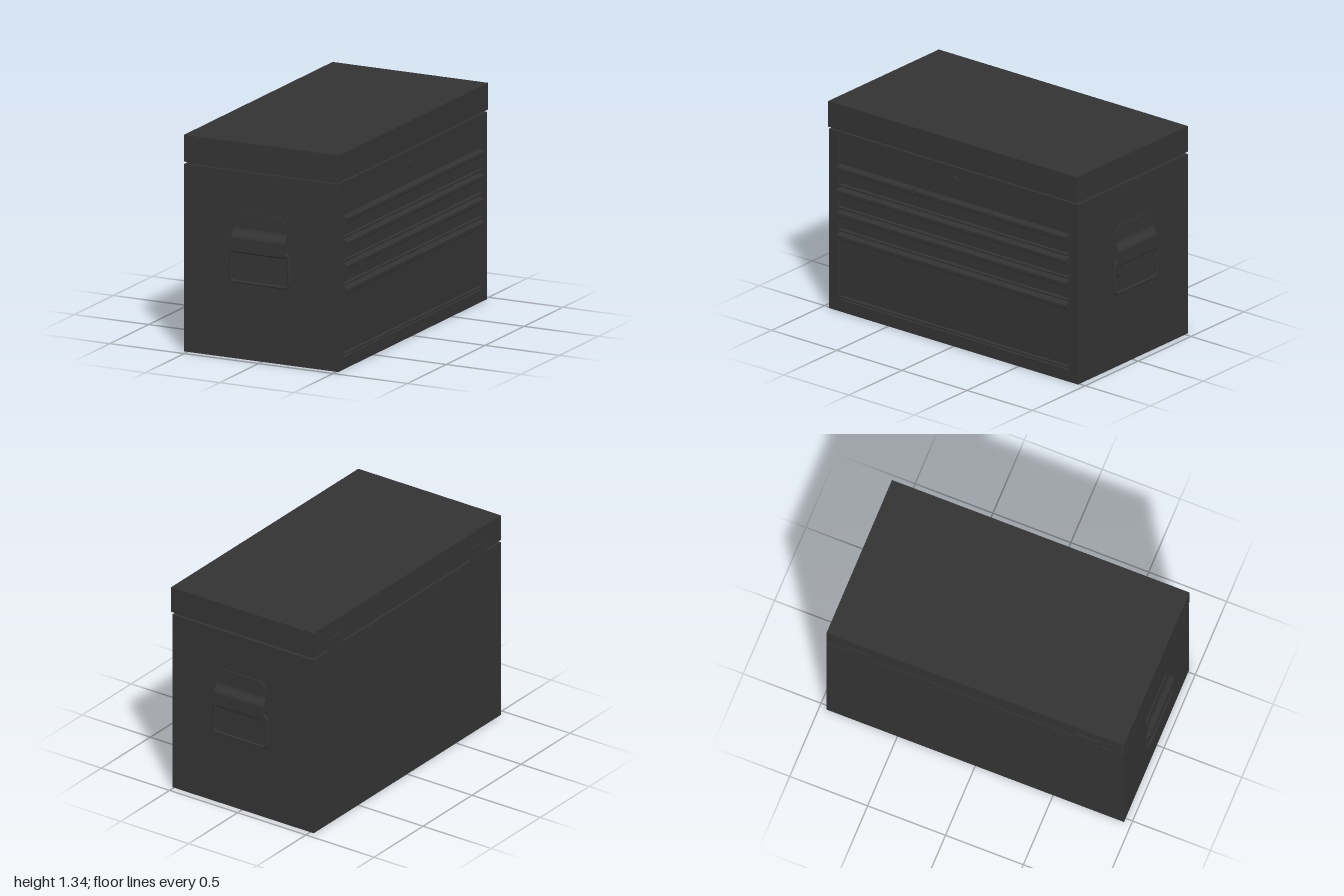
import * as THREE from 'three';

const paint = new THREE.MeshStandardMaterial({ color: 0x333333 });

function add(parent, name, geometry) {
  const mesh = new THREE.Mesh(geometry, paint);
  mesh.name = name;
  parent.add(mesh);
  return mesh;
}

// Box given by its limits on each axis
function box(parent, name, [x0, x1], [y0, y1], [z0, z1]) {
  const g = new THREE.BoxGeometry(x1 - x0, y1 - y0, z1 - z0);
  g.translate((x0 + x1) / 2, (y0 + y1) / 2, (z0 + z1) / 2);
  return add(parent, name, g);
}

const toShape = pts => new THREE.Shape(pts.map(p => new THREE.Vector2(...p)));

// x-y profile extruded from z0 to z1
function extrudeZ(pts, z0, z1) {
  const g = new THREE.ExtrudeGeometry(toShape(pts), { depth: z1 - z0, bevelEnabled: false });
  return g.translate(0, 0, z0);
}

// Drawer front: flat face, hooked pull along the top, small rolled lip below
function drawer(parent, name, y0, y1, z0, z1) {
  const b = y0 + 0.006, t = y1 - 0.005;
  add(parent, name, extrudeZ([
    [0.48, b], [0.511, b], [0.516, b + 0.004], [0.516, b + 0.013], [0.511, b + 0.017], [0.502, b + 0.017],
    [0.502, t - 0.007], [0.522, t - 0.007], [0.526, t - 0.012], [0.526, t - 0.024], [0.522, t - 0.028],
    [0.514, t - 0.028], [0.514, t - 0.035], [0.525, t - 0.035], [0.533, t - 0.028], [0.533, t - 0.008],
    [0.525, t], [0.48, t],
  ], z0, z1));
}

// Sheet-metal strip: rows of [y, z, half width], thickened along its profile normal
function strip(rows, thickness) {
  const pos = [], idx = [], n = rows.length;
  rows.forEach(([y, z, w], i) => {
    const a = rows[Math.max(i - 1, 0)], c = rows[Math.min(i + 1, n - 1)];
    const dy = c[0] - a[0], dz = c[1] - a[1], l = Math.hypot(dy, dz);
    const yi = y + (dz / l) * -thickness, zi = z + (dy / l) * thickness;
    pos.push(-w, y, z, w, y, z, w, yi, zi, -w, yi, zi);
  });
  for (let i = 0; i < n - 1; i++) {
    for (let k = 0; k < 4; k++) {
      const a = i * 4 + k, b = i * 4 + (k + 1) % 4;
      idx.push(a, a + 4, b, b, a + 4, b + 4);
    }
  }
  const e = (n - 1) * 4;
  idx.push(0, 1, 2, 0, 2, 3, e, e + 2, e + 1, e, e + 3, e + 2);
  const g = new THREE.BufferGeometry();
  g.setAttribute('position', new THREE.Float32BufferAttribute(pos, 3));
  g.setIndex(idx);
  const flat = g.toNonIndexed();
  flat.computeVertexNormals();
  return flat;
}

// Carry handle for one end: pressed bracket holding a swinging bail
function carryHandle() {
  const handle = new THREE.Group();
  handle.name = 'carryHandle';
  const bracket = add(handle, 'handleBracket', strip([
    [0.905, 0.966, 0.135], [0.86, 0.966, 0.18], [0.81, 0.967, 0.18], [0.795, 0.973, 0.18],
    [0.768, 0.994, 0.18], [0.755, 1.0, 0.18], [0.672, 1.0, 0.18], [0.664, 0.994, 0.18],
    [0.662, 0.972, 0.18], [0.655, 0.966, 0.18], [0.62, 0.966, 0.18], [0.575, 0.966, 0.135],
  ], 0.009));
  bracket.material = paint.clone();
  bracket.material.side = THREE.DoubleSide;

  // Rounded trapezoid loop
  const corners = [[-0.19, 0.685], [0.19, 0.685], [0.197, 0.48], [-0.197, 0.48]]
    .map(p => new THREE.Vector2(...p));
  const path = new THREE.CurvePath();
  const near = (p, q) => p.clone().add(q.clone().sub(p).setLength(0.03));
  const to3 = p => new THREE.Vector3(p.x, p.y, 0.973 + (0.58 - p.y) * 0.02);
  corners.forEach((p, i) => {
    const prev = corners[(i + 3) % 4], next = corners[(i + 1) % 4];
    path.add(new THREE.QuadraticBezierCurve3(to3(near(p, prev)), to3(p), to3(near(p, next))));
    path.add(new THREE.LineCurve3(to3(near(p, next)), to3(near(next, p))));
  });
  add(handle, 'handleBail', new THREE.TubeGeometry(path, 120, 0.01, 8, true));
  handle.position.x = -0.005;
  return handle;
}

export function createModel() {
  const model = new THREE.Group();
  model.name = 'toolChest';

  // Cabinet with a framed opening on the drawer side
  box(model, 'cabinet', [-0.525, 0.49], [0, 1.155], [-0.955, 0.955]);
  const frame = toShape([[-0.955, 0], [0.955, 0], [0.955, 1.155], [-0.955, 1.155]]);
  frame.holes.push(toShape([[-0.885, 0.075], [-0.885, 1.15], [0.885, 1.15], [0.885, 0.075]]));
  const frameGeometry = new THREE.ExtrudeGeometry(frame, { depth: 0.022, bevelEnabled: false });
  add(model, 'drawerFrame', frameGeometry.rotateY(Math.PI / 2).translate(0.49, 0, 0));

  // Lid with a recessed seam below it
  box(model, 'lidSeam', [-0.505, 0.495], [1.15, 1.175], [-0.935, 0.935]);
  box(model, 'lid', [-0.525, 0.52], [1.17, 1.335], [-0.955, 0.955]);
  box(model, 'lidLip', [-0.512, 0.505], [1.162, 1.172], [-0.943, 0.943]);

  // Fixed upper panel with lock and plain plate
  box(model, 'upperPanel', [0.48, 0.502], [0.948, 1.147], [-0.88, 0.88]);
  const lock = add(model, 'lock', new THREE.CylinderGeometry(0.03, 0.03, 0.02, 32));
  lock.rotation.z = Math.PI / 2;
  lock.position.set(0.499, 1.06, 0);
  box(model, 'plate', [0.495, 0.506], [1.015, 1.09], [-0.7, -0.4]);

  // Three small drawers, two shallow ones and one deep one
  for (const [z0, z1] of [[-0.88, -0.3], [-0.29, 0.29], [0.3, 0.88]]) {
    drawer(model, 'smallDrawer', 0.798, 0.945, z0, z1);
  }
  drawer(model, 'shallowDrawer', 0.652, 0.798, -0.88, 0.88);
  drawer(model, 'shallowDrawer', 0.508, 0.652, -0.88, 0.88);
  drawer(model, 'deepDrawer', 0.078, 0.508, -0.88, 0.88);

  // Hinges on the back of the lid
  for (const z of [-0.735, 0.725]) {
    box(model, 'lowerHingeLeaf', [-0.533, -0.52], [1.08, 1.155], [z - 0.075, z + 0.075]);
    box(model, 'upperHingeLeaf', [-0.533, -0.52], [1.165, 1.237], [z - 0.075, z + 0.075]);
    const pin = add(model, 'hingePin', new THREE.CylinderGeometry(0.008, 0.008, 0.15, 12));
    pin.rotation.x = Math.PI / 2;
    pin.position.set(-0.527, 1.16, z);
  }

  // Carry handles on both ends
  const front = carryHandle();
  const back = carryHandle();
  back.rotation.y = Math.PI;
  model.add(front, back);

  return model;
}
